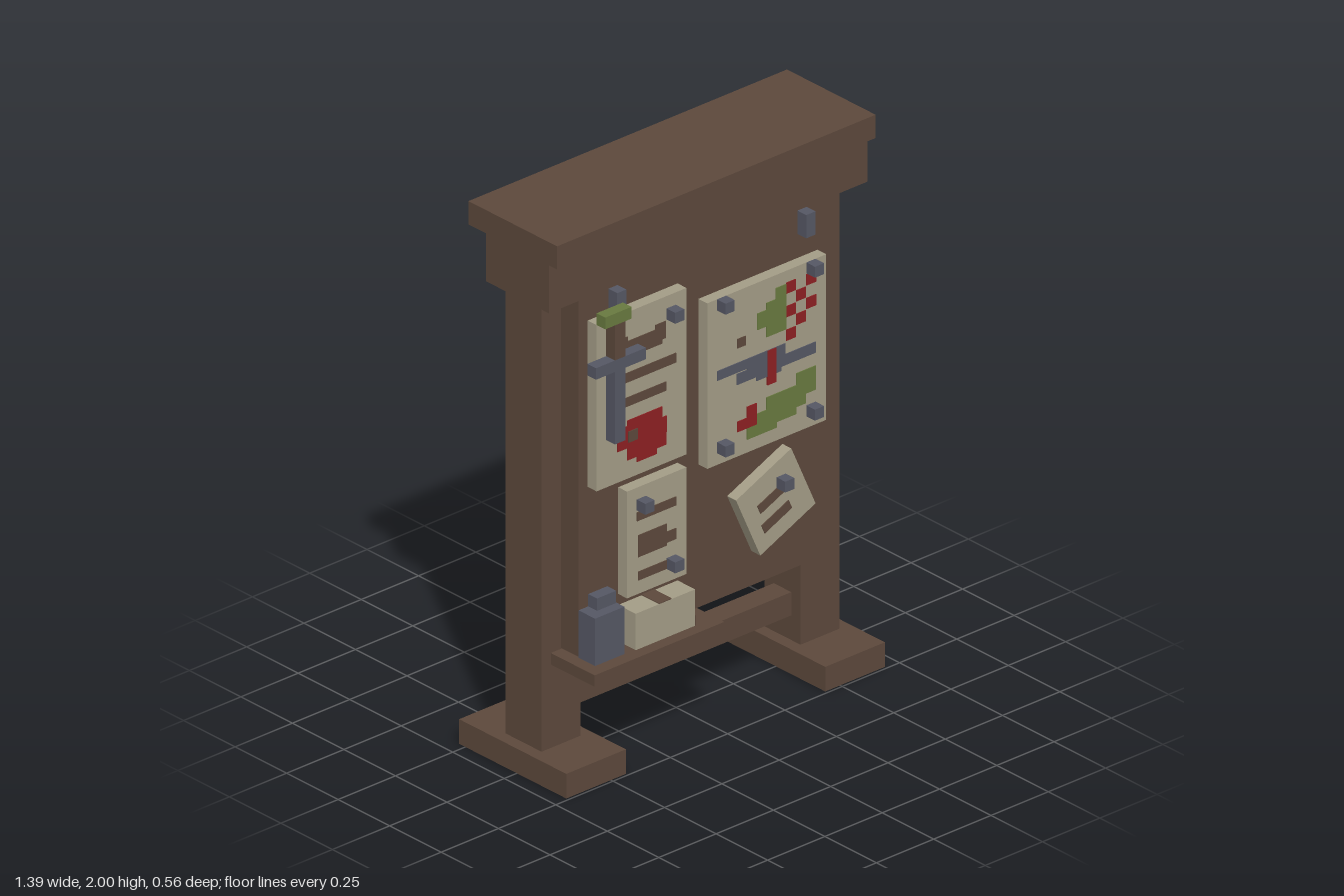
import * as THREE from 'three';

const mat = (name, color) => {
  const m = new THREE.MeshStandardMaterial({ color, side: THREE.DoubleSide });
  m.name = name;
  return m;
};

export function createModel() {
  const wood = mat('wood', 0x5c483b);
  const paper = mat('paper', 0xa39c86);
  const iron = mat('iron', 0x555764);
  const green = mat('green', 0x68793f);
  const red = mat('red', 0x8c2022);
  const model = new THREE.Group();
  model.name = 'noticeBoard';

  // Box from its min and max on each axis
  const box = (name, m, x0, x1, y0, y1, z0, z1, parent = model) => {
    const mesh = new THREE.Mesh(new THREE.BoxGeometry(x1 - x0, y1 - y0, z1 - z0), m);
    mesh.position.set((x0 + x1) / 2, (y0 + y1) / 2, (z0 + z1) / 2);
    mesh.name = name;
    parent.add(mesh);
    return mesh;
  };

  // Frame
  box('roof', wood, -0.695, 0.695, 1.915, 2, -0.235, 0.195);
  box('beam', wood, -0.695, 0.695, 1.74, 1.915, -0.15, 0.155);
  box('panel', wood, -0.565, 0.562, 0.44, 1.74, 0.07, 0.155);
  box('backRail', wood, -0.48, 0.48, 0.44, 0.53, 0.03, 0.07);
  box('lowerRail', wood, -0.48, 0.48, 0.18, 0.265, -0.06, 0.025);
  box('shelf', wood, -0.61, -0.045, 0.395, 0.437, 0.07, 0.283);
  for (const s of [-1, 1]) {
    const cx = s * 0.565;
    box('post', wood, cx - 0.085, cx + 0.085, 0.09, 1.74, -0.105, 0.07);
    const foot = box('foot', wood, cx - 0.13, cx + 0.13, 0, 0.09, -0.28, 0.24);
    // Open underside: drop the bottom face
    const idx = Array.from(foot.geometry.index.array);
    idx.splice(18, 6);
    foot.geometry.setIndex(idx);
    foot.geometry.clearGroups();
  }

  // Sheets on the panel
  const B = 0.155, F = 0.198, P = 0.24;
  box('tallSheet', paper, -0.525, -0.133, 1.047, 1.655, B, F);
  box('largeSheet', paper, -0.042, 0.477, 0.962, 1.567, B, F);
  box('smallSheet', paper, -0.392, -0.133, 0.61, 1.0, B, F);
  const tilted = new THREE.Group();
  tilted.name = 'tiltedSheet';
  tilted.position.set(0.257, 0.738, 0);
  tilted.rotation.z = 0.42;
  model.add(tilted);
  box('tiltedPaper', paper, -0.132, 0.132, -0.13, 0.13, B, F, tilted);

  // Painted marks: thin plates given as [x0, x1, y0, y1]
  const marks = (name, m, list, parent = model) =>
    list.forEach(([x0, x1, y0, y1]) => box(name, m, x0, x1, y0, y1, F, F + 0.003, parent));

  marks('tallSheetWriting', wood, [
    [-0.44, -0.225, 1.505, 1.55], [-0.42, -0.24, 1.49, 1.505], [-0.435, -0.39, 1.55, 1.567], [-0.27, -0.225, 1.55, 1.567],
    [-0.44, -0.18, 1.4, 1.435], [-0.44, -0.222, 1.312, 1.345],
  ]);
  marks('waxSeal', red, [
    [-0.435, -0.22, 1.16, 1.22], [-0.392, -0.222, 1.115, 1.16], [-0.35, -0.265, 1.095, 1.115],
    [-0.435, -0.24, 1.22, 1.24], [-0.392, -0.24, 1.24, 1.26],
  ]);
  box('sealDot', wood, -0.39, -0.35, 1.18, 1.22, F, F + 0.006);
  marks('smallSheetWriting', wood, [
    [-0.35, -0.18, 0.878, 0.91], [-0.345, -0.22, 0.745, 0.825], [-0.22, -0.18, 0.755, 0.795], [-0.345, -0.18, 0.66, 0.692],
  ]);
  marks('tiltedSheetWriting', wood, [
    [-0.07, 0.085, 0.01, 0.045], [-0.085, 0.045, -0.068, -0.032],
  ], tilted);

  // Map painted on the large sheet
  marks('mapForest', green, [
    [0.175, 0.3, 1.395, 1.455], [0.215, 0.3, 1.455, 1.48], [0.255, 0.3, 1.48, 1.52], [0.215, 0.3, 1.355, 1.395],
    [0.13, 0.26, 1.01, 1.055], [0.17, 0.385, 1.055, 1.09], [0.215, 0.43, 1.09, 1.135], [0.345, 0.43, 1.135, 1.178],
    [0.26, 0.345, 1.03, 1.055],
  ]);
  marks('mapRiver', iron, [
    [0, 0.297, 1.27, 1.305], [0.085, 0.43, 1.225, 1.265], [0.13, 0.297, 1.255, 1.28], [0.17, 0.28, 1.21, 1.225],
  ]);
  marks('mapHouse', red, [[0.088, 0.172, 1.052, 1.09], [0.13, 0.172, 1.09, 1.13]]);
  box('mapTower', red, 0.217, 0.255, 1.18, 1.305, F, F + 0.006);
  marks('mapDot', wood, [[0.088, 0.124, 1.358, 1.392]]);
  const checks = [];
  for (let r = 0; r < 5; r++) {
    for (let c = r % 2; c < 3; c += 2) {
      if (r === 4 && c) continue;
      const x = 0.322 + c * 0.044, y = 1.504 - r * 0.043;
      checks.push([x - 0.021, x + 0.021, y - 0.02, y + 0.02]);
    }
  }
  marks('mapChecks', red, checks);

  // Pins
  for (const [x, y] of [[0.02, 1.547], [0.41, 1.547], [0.02, 1.025], [0.41, 1.025],
    [-0.2, 1.59], [-0.33, 0.937], [-0.2, 0.678], [0.28, 0.807]]) {
    box('pin', iron, x - 0.02, x + 0.02, y - 0.02, y + 0.02, F, P);
  }

  // Hooks and hanging sword
  for (const x of [-0.415, 0.41]) box('hook', iron, x - 0.02, x + 0.02, 1.655, 1.74, B, F);
  box('swordBlade', iron, -0.483, -0.437, 1.22, 1.485, F, P);
  box('swordGuard', iron, -0.565, -0.348, 1.485, 1.527, F, P);
  box('swordGrip', wood, -0.483, -0.437, 1.527, 1.655, F, P);
  box('swordPommel', green, -0.525, -0.41, 1.655, 1.698, F, P);

  // Things on the shelf
  box('bottleBody', iron, -0.565, -0.437, 0.437, 0.61, B, 0.235);
  box('bottleNeck', iron, -0.523, -0.44, 0.61, 0.655, B, F);
  box('parcel', paper, -0.392, -0.133, 0.437, 0.57, B, P);
  box('parcelStrap', wood, -0.29, -0.235, 0.57, 0.573, B, P);
  box('parcelSideBand', wood, -0.133, -0.13, 0.437, 0.475, B, P);

  return model;
}
